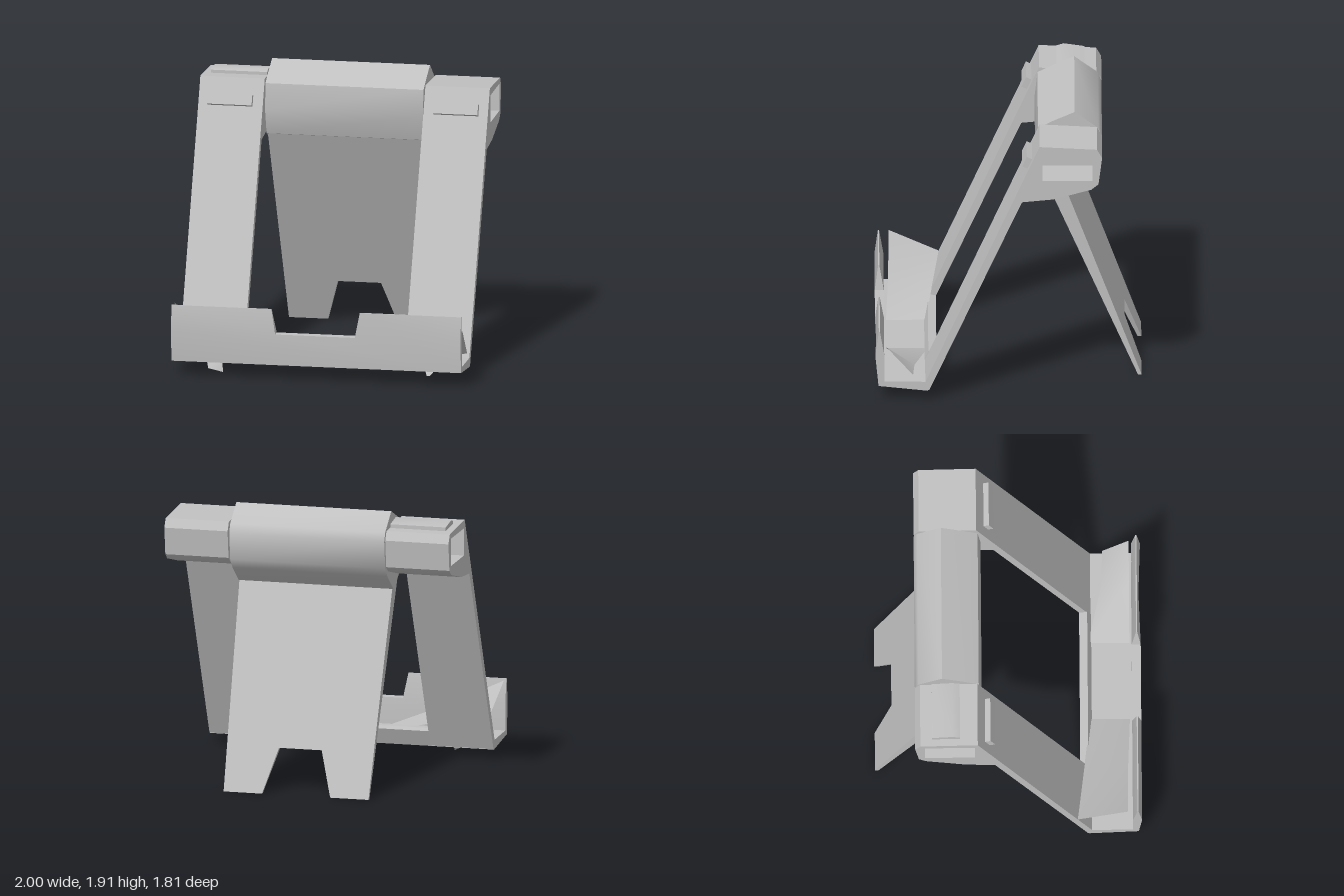
import * as THREE from 'three';
import { toCreasedNormals } from 'three/addons/utils/BufferGeometryUtils.js';

export function createModel() {
  const group = new THREE.Group();
  group.name = 'tabletStand';
  const grey = new THREE.MeshStandardMaterial({ color: 0xc0c0c0, side: THREE.DoubleSide });
  grey.name = 'grey';

  function add(geometry, name) {
    const mesh = new THREE.Mesh(geometry, grey);
    mesh.name = name;
    group.add(mesh);
    return mesh;
  }
  const points = (list) => list.map(([a, b]) => new THREE.Vector2(a, b));
  const flip = (list) => points(list.map(([z, y]) => [-z, y]));

  // Side profile given as [z, y], swept from x0 to x1
  function sweep(name, profile, x0, x1, hole, crease = 0.5) {
    const shape = new THREE.Shape(flip(profile));
    if (hole) shape.holes.push(new THREE.Path(flip(hole)));
    const g = new THREE.ExtrudeGeometry(shape, { depth: x1 - x0, bevelEnabled: false });
    g.rotateY(Math.PI / 2).translate(x0, 0, 0);
    return add(toCreasedNormals(g, crease), name);
  }

  // Front outline given as [x, y], with back and front surfaces following a rule of y
  function slab(name, outline, backZ, frontZ) {
    const g = new THREE.ExtrudeGeometry(new THREE.Shape(points(outline)), { depth: 1, bevelEnabled: false });
    const p = g.attributes.position;
    for (let i = 0; i < p.count; i++) {
      p.setZ(i, p.getZ(i) > 0.5 ? frontZ(p.getY(i)) : backZ(p.getY(i)));
    }
    return add(toCreasedNormals(g, 0.4), name);
  }

  // Thin surface through rows of [x, y, z] points of equal length
  function sheet(name, rows) {
    const n = rows[0].length, index = [];
    for (let r = 0; r < rows.length - 1; r++) {
      for (let c = 0; c < n - 1; c++) {
        const a = r * n + c, b = a + n;
        index.push(a, a + 1, b, b, a + 1, b + 1);
      }
    }
    const g = new THREE.BufferGeometry();
    g.setAttribute('position', new THREE.Float32BufferAttribute(rows.flat(2), 3));
    g.setIndex(index);
    g.computeVertexNormals();
    return add(g, name);
  }

  // Leaning arms with a bent head and a rectangular end recess
  const arm = [[0.54, 0.07], [0.59, 0.08], [0.47, 0.34], [-0.21, 1.83], [-0.6, 1.81],
    [-0.635, 1.75], [-0.61, 1.56], [-0.56, 1.52], [-0.3, 1.45], [-0.09, 1.43]];
  const recess = [[-0.23, 1.585], [-0.23, 1.775], [-0.57, 1.775], [-0.57, 1.585]];
  for (const s of [-1, 1]) {
    const side = s > 0 ? 'left' : 'right';
    const [outer, inner] = s > 0 ? [[0.7, 1], [0.555, 0.7]] : [[-1, -0.7], [-0.7, -0.555]];
    sweep(side + 'ArmOuter', arm, ...outer, recess);
    sweep(side + 'ArmInner', arm, ...inner);
    // Raised pad on the upper front of the arm
    const pad = add(new THREE.BoxGeometry(0.31, 0.075, 0.05), side + 'ArmPad');
    pad.position.set(s * 0.78, 1.69, -0.13);
    pad.rotation.x = -0.425;
  }

  // Low plate on top of one arm head
  sweep('headPlate', [[-0.33, 1.81], [-0.33, 1.845], [-0.38, 1.86], [-0.52, 1.84], [-0.52, 1.81]], -0.95, -0.56);

  // Hinge barrel between the arm heads
  sweep('hingeBarrel', [[-0.18, 1.62], [-0.2, 1.8], [-0.3, 1.85], [-0.45, 1.915], [-0.61, 1.8],
    [-0.635, 1.74], [-0.61, 1.55], [-0.55, 1.48], [-0.39, 1.36], [-0.24, 1.44]], -0.548, 0.543, null, 0.75);

  // Rear leg plate, tapering to two feet
  slab('rearLeg', [[-0.51, 0], [-0.24, 0], [-0.15, 0.3], [0.15, 0.3], [0.24, 0], [0.51, 0],
    [0.54, 1.45], [-0.54, 1.45]],
  (y) => -0.905 + 0.38 * y, (y) => -0.88 + 0.442 * y);

  // Tray floor and the low cross bar that joins the arms
  sweep('trayFloor', [[0.55, 0.065], [0.885, 0.1], [0.885, 0.135], [0.565, 0.13]], -1, 1);
  sweep('crossBar', [[0.545, 0.066], [0.595, 0.075], [0.545, 0.19], [0.49, 0.18]], -0.56, 0.56);

  // Front lip with a central notch
  slab('trayLip', [[-1, 0.1], [1, 0.1], [1, 0.32], [1, 0.49], [0.3, 0.49], [0.27, 0.32],
    [-0.28, 0.32], [-0.31, 0.49], [-1, 0.49], [-1, 0.32]],
  (y) => 0.845 + 0.03 * Math.max(0, y - 0.32) / 0.17,
  (y) => (y < 0.32 ? 0.885 + 0.1 * (y - 0.1) : 0.907 - 0.14 * (y - 0.32)));

  // Ramps inside the tray ends
  sheet('rightRamp', [
    [[-1, 0.49, 0.81], [-1, 0.34, 0.47]],
    [[-0.6, 0.3, 0.815], [-0.6, 0.24, 0.515]],
    [[-0.2, 0.135, 0.83], [-0.2, 0.135, 0.56]],
  ]);
  sheet('leftRamp', [
    [[0.35, 0.135, 0.83], [0.35, 0.135, 0.55]],
    [[0.75, 0.28, 0.83], [0.75, 0.16, 0.64]],
    [[1, 0.38, 0.83], [1, 0.18, 0.65]],
  ]);

  // Small pointed feet under the tray
  sheet('rightTrayFoot', [
    [[-0.81, 0.08, 0.62], [-0.7, 0.08, 0.62]],
    [[-0.76, 0.04, 0.81], [-0.67, 0, 0.74]],
  ]);
  sheet('leftTrayFoot', [
    [[0.69, 0.08, 0.6], [0.8, 0.08, 0.62]],
    [[0.74, 0.04, 0.76], [0.77, 0.05, 0.8]],
  ]);
  return group;
}
